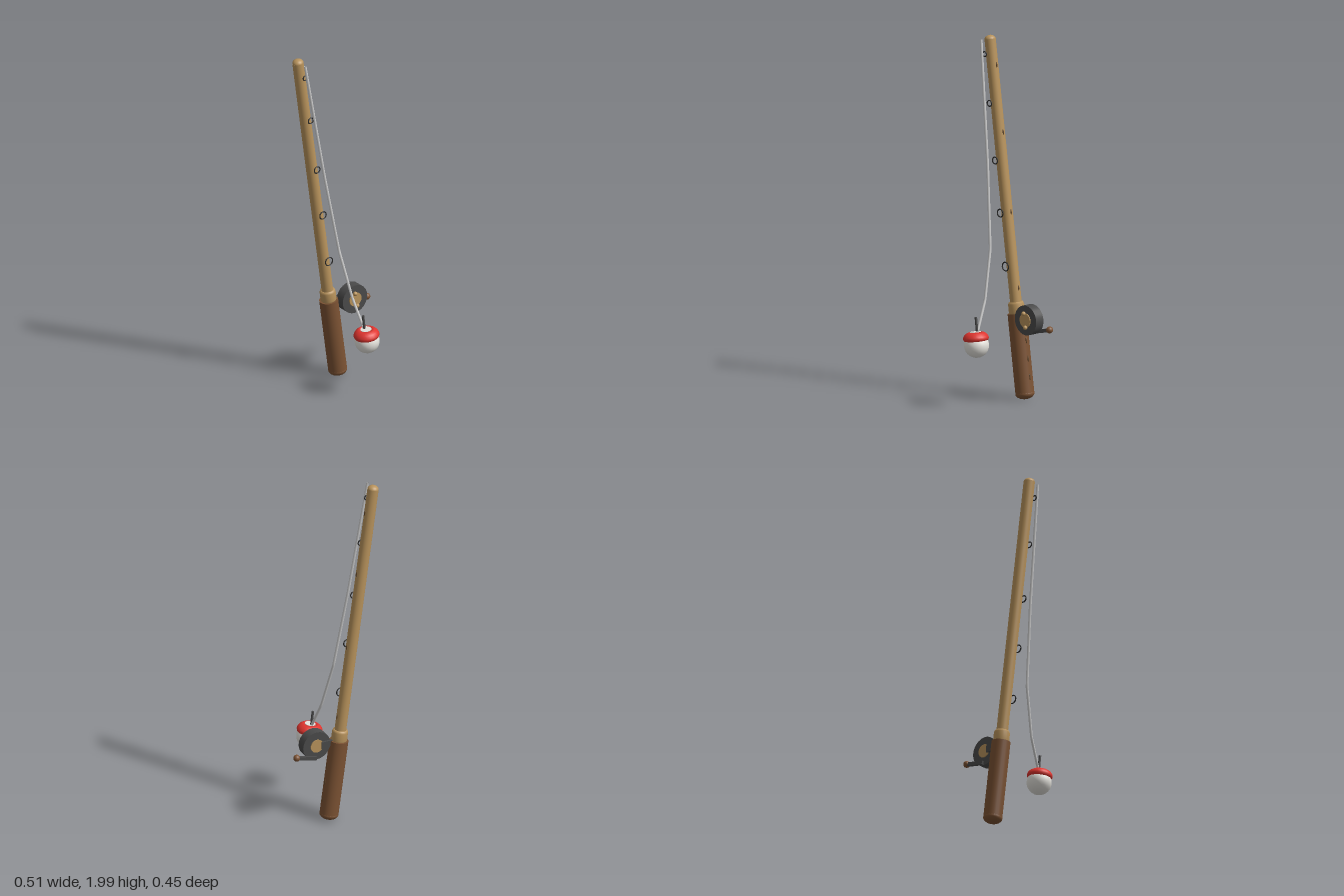
import * as THREE from 'three';

const mat = (color) => new THREE.MeshStandardMaterial({ color });
const TAN = mat(0xb8935c), BROWN = mat(0x7b5233), DARK = mat(0x4a4a4a), BLACK = mat(0x2b2b2b);
const KNOT = mat(0x5e4429), RED = mat(0xe0352f), WHITE = mat(0xe6e4de), LINE = mat(0xcccccc);

function add(parent, name, geo, material, x = 0, y = 0, z = 0) {
  const m = new THREE.Mesh(geo, material);
  m.name = name;
  m.position.set(x, y, z);
  parent.add(m);
  return m;
}
const cyl = (r0, r1, h) => new THREE.CylinderGeometry(r1, r0, h, 24);
const ball = (r) => new THREE.SphereGeometry(r, 20, 14);
const lathe = (pts) => new THREE.LatheGeometry(pts.map(([r, y]) => new THREE.Vector2(r, y)), 24);

// Leaning pole: local y runs along the pole
function makePole() {
  const pole = new THREE.Group();
  pole.name = 'pole';
  pole.position.set(0.048, 0, -0.172);
  pole.rotation.z = 0.138;

  add(pole, 'rod', cyl(0.032, 0.031, 1.53), TAN, 0, 1.23, 0);
  add(pole, 'tipCap', ball(0.031), TAN, 0, 1.992, 0).scale.y = 0.75;
  add(pole, 'grip', cyl(0.052, 0.052, 0.44), BROWN, 0, 0.26, 0);
  add(pole, 'buttCap', ball(0.053), BROWN, 0, 0.038, 0).scale.y = 0.6;
  add(pole, 'collar', lathe([[0.03, -0.035], [0.04, -0.035], [0.044, -0.025], [0.044, 0.022],
    [0.039, 0.034], [0.03, 0.034]]), TAN, 0, 0.51, 0);

  // Small knots along the left side
  for (const y of [0.62, 1.04, 1.48, 1.85])
    add(pole, 'rodKnot', ball(0.009), KNOT, 0.031, y, 0).scale.set(0.4, 1.7, 0.5);
  for (const y of [0.13, 0.23, 0.33])
    add(pole, 'gripKnot', ball(0.009), KNOT, 0.052, y, 0).scale.set(0.4, 1.9, 0.5);

  // Line guides, shrinking towards the tip
  [0.745, 1.04, 1.33, 1.645, 1.917].forEach((y, i) =>
    add(pole, 'lineGuide', new THREE.TorusGeometry(0.024 - i * 0.0025, 0.0035, 6, 18), BLACK, 0, y, 0.053));
  return pole;
}

// Drum reel with hubs, knobs and crank
function makeReel() {
  const reel = new THREE.Group();
  reel.name = 'reel';
  reel.position.set(0.113, 0.465, -0.135);
  const disc = (name, r, h, m, z) => {
    add(reel, name, cyl(r, r, h), m, 0, 0, z).rotation.x = Math.PI / 2;
  };
  disc('drum', 0.083, 0.056, DARK, 0);
  disc('frontHub', 0.04, 0.008, TAN, 0.03);
  disc('backHub', 0.038, 0.008, TAN, -0.03);
  add(reel, 'hubKnob', ball(0.012), TAN, -0.006, 0.038, 0.038);
  add(reel, 'hubKnob', ball(0.012), TAN, 0.008, -0.038, 0.038);
  add(reel, 'reelFoot', new THREE.BoxGeometry(0.09, 0.04, 0.02), DARK, -0.07, 0.0, -0.031);

  const arm = add(reel, 'crankArm', new THREE.BoxGeometry(0.12, 0.02, 0.018), DARK, 0.064, -0.058, -0.033);
  arm.rotation.z = 0.22;
  add(reel, 'crankKnob', ball(0.019), BROWN, 0.125, -0.043, -0.033);
  return reel;
}

// Float hanging at the end of the line
function makeFloat() {
  const f = new THREE.Group();
  f.name = 'float';
  f.position.set(0, 0.35, 0.157);
  f.rotation.z = 0.12;
  add(f, 'floatBody', ball(0.069), WHITE);
  add(f, 'floatBand', lathe([[0.06, 0.024], [0.068, 0.028], [0.071, 0.038], [0.069, 0.048],
    [0.06, 0.061], [0.046, 0.07], [0.032, 0.073], [0.028, 0.06]]), RED).material.side = THREE.DoubleSide;
  add(f, 'floatTop', cyl(0.032, 0.03, 0.02), WHITE, 0, 0.064, 0);
  add(f, 'floatStem', cyl(0.007, 0.007, 0.09), DARK, 0, 0.108, -0.013);
  return f;
}

// Fishing line made of straight runs
function makeLine() {
  const path = new THREE.CurvePath();
  const pts = [[-0.227, 1.98, -0.104], [-0.13, 1.3, -0.058], [-0.065, 0.85, -0.013],
    [-0.03, 0.58, 0.062], [-0.009, 0.42, 0.14]].map((p) => new THREE.Vector3(...p));
  for (let i = 1; i < pts.length; i++) path.add(new THREE.LineCurve3(pts[i - 1], pts[i]));
  const line = new THREE.Mesh(new THREE.TubeGeometry(path, 60, 0.0075, 8), LINE);
  line.material.side = THREE.DoubleSide;
  line.name = 'fishingLine';
  return line;
}

export function createModel() {
  const model = new THREE.Group();
  model.name = 'fishingRod';
  model.add(makePole(), makeReel(), makeFloat(), makeLine());
  return model;
}
